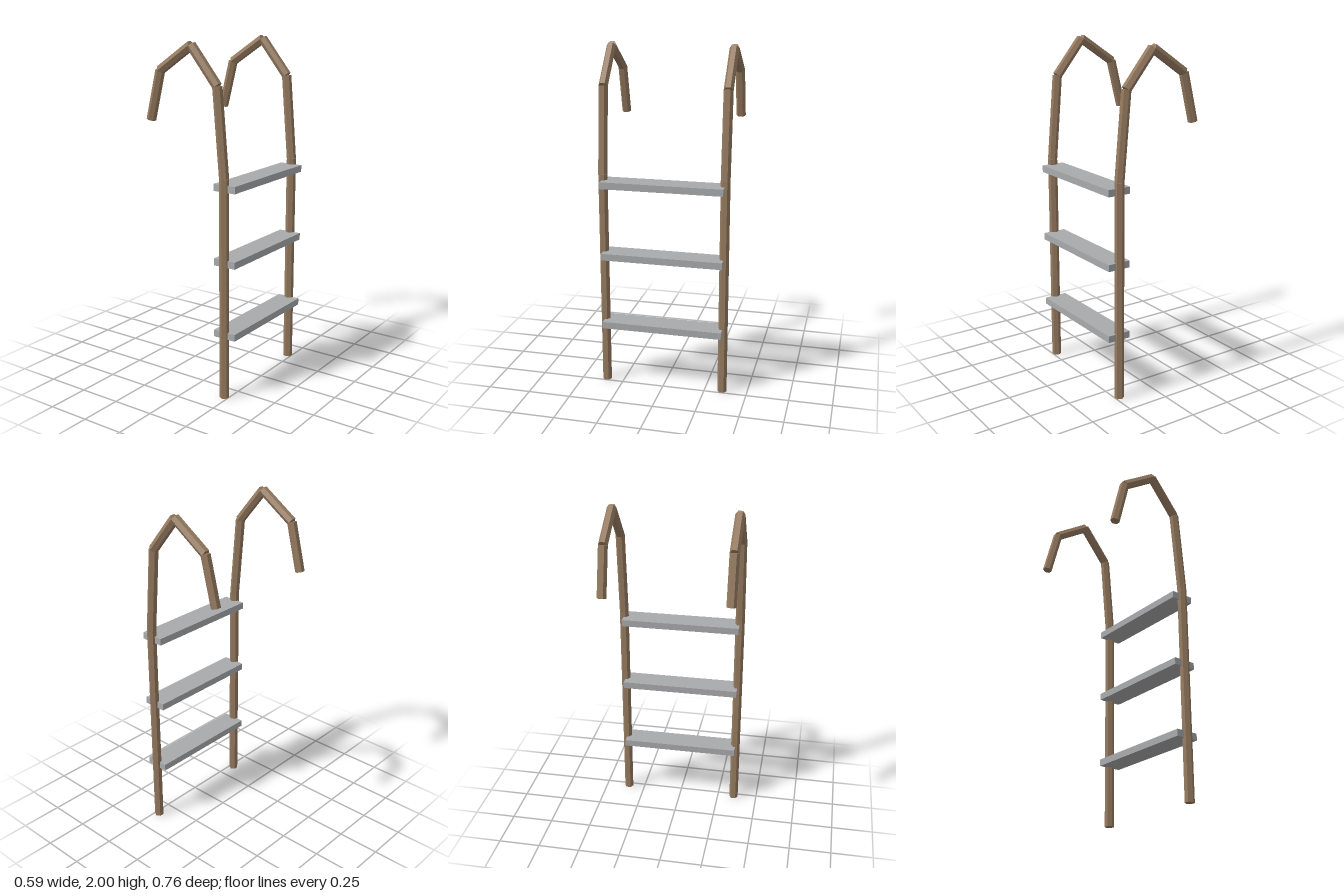
import * as THREE from 'three';

const railMaterial = new THREE.MeshStandardMaterial({ color: 0x967b60 });
railMaterial.name = 'brown rail';
railMaterial.flatShading = true;
const stepMaterial = new THREE.MeshStandardMaterial({ color: 0xa9aaac });
stepMaterial.name = 'grey step';

const RADIUS = 0.0275;
const HALF_SPAN = 0.3535; // rail centre to ladder centre
const LEG_X = 0.224;

// Rail centreline, from the foot over the hook to the tip
const railPath = [
  [LEG_X, 0], [LEG_X, 1.28], [0.181, 1.773], [0.012, 1.98], [-0.201, 1.838], [-0.272, 1.56],
].map(([x, y]) => new THREE.Vector2(x, y));

// One straight hexagonal length of rail between two points
function railSegment(a, b) {
  const d = b.clone().sub(a);
  const mesh = new THREE.Mesh(new THREE.CylinderGeometry(RADIUS, RADIUS, d.length(), 6), railMaterial);
  mesh.position.set((a.x + b.x) / 2, (a.y + b.y) / 2, 0);
  mesh.rotation.z = Math.atan2(d.y, d.x) - Math.PI / 2;
  return mesh;
}

function createRail(name, z) {
  const rail = new THREE.Group();
  rail.name = name;
  const parts = ['leg', 'upperLeg', 'hookRise', 'hookFall', 'hookTip'];
  parts.forEach((part, i) => {
    const mesh = railSegment(railPath[i], railPath[i + 1]);
    mesh.name = part;
    rail.add(mesh);
  });
  rail.position.z = z;
  return rail;
}

export function createModel() {
  const ladder = new THREE.Group();
  ladder.name = 'ladder';
  ladder.add(createRail('frontRail', HALF_SPAN), createRail('backRail', -HALF_SPAN));

  // Three flat treads between the rails
  const treadGeometry = new THREE.BoxGeometry(0.14, 0.04, HALF_SPAN * 2);
  for (let i = 0; i < 3; i++) {
    const tread = new THREE.Mesh(treadGeometry, stepMaterial);
    tread.name = `step${i + 1}`;
    tread.position.set(LEG_X, 0.378 + i * 0.424, 0);
    ladder.add(tread);
  }
  return ladder;
}
